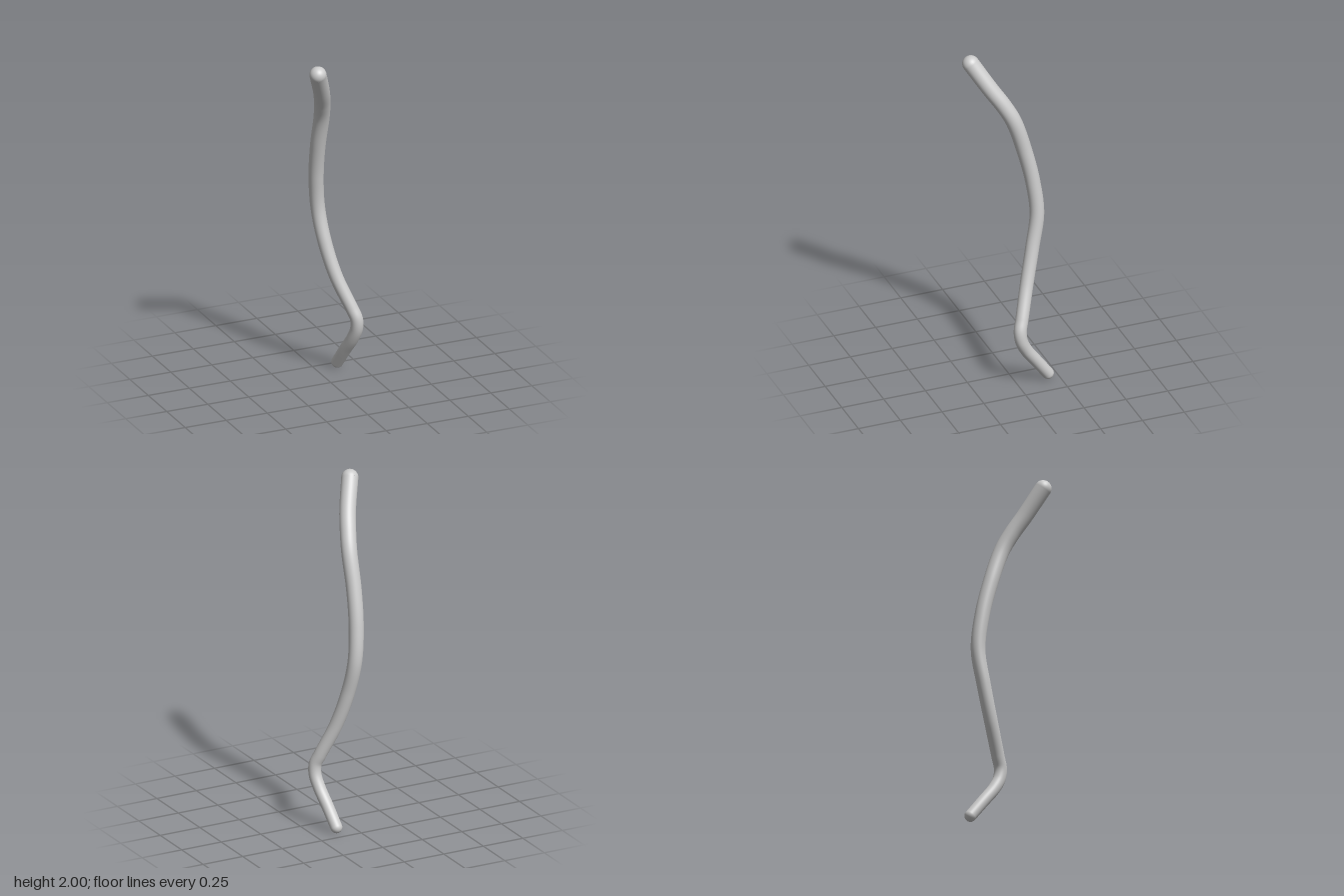
import * as THREE from 'three';

export function createModel() {
  const group = new THREE.Group();
  const material = new THREE.MeshStandardMaterial({ color: 0xcccccc });

  // Centre line from the thin lower end to the thick upper end
  const path = new THREE.CatmullRomCurve3([
    [0.122, 0.037, -0.183], [0.137, 0.14, -0.108], [0.153, 0.23, -0.043],
    [0.162, 0.3, -0.01], [0.158, 0.36, -0.004], [0.137, 0.42, -0.022],
    [0.068, 0.6, -0.078], [0.021, 0.8, -0.13], [-0.004, 1.0, -0.168],
    [-0.022, 1.2, -0.15], [-0.032, 1.4, -0.105], [-0.037, 1.6, -0.042],
    [-0.057, 1.7, 0.01], [-0.09, 1.8, 0.075], [-0.154, 1.953, 0.168],
  ].map((p) => new THREE.Vector3(...p)));

  const r0 = 0.034, r1 = 0.048, steps = 160, sides = 32;

  // Tube whose rings widen steadily along the path
  const geometry = new THREE.TubeGeometry(path, steps, 1, sides);
  const pos = geometry.attributes.position;
  const v = new THREE.Vector3();
  for (let i = 0; i <= steps; i++) {
    const centre = path.getPointAt(i / steps);
    const radius = THREE.MathUtils.lerp(r0, r1, i / steps);
    for (let j = 0; j <= sides; j++) {
      const k = i * (sides + 1) + j;
      v.fromBufferAttribute(pos, k).sub(centre).multiplyScalar(radius).add(centre);
      pos.setXYZ(k, v.x, v.y, v.z);
    }
  }
  const stem = new THREE.Mesh(geometry, material);
  stem.name = 'taperedStem';
  group.add(stem);

  // Rounded ends: hemispheres facing outwards along the path
  const addCap = (name, t, radius, sign) => {
    const cap = new THREE.Mesh(
      new THREE.SphereGeometry(radius, sides, 12, 0, Math.PI * 2, 0, Math.PI / 2), material);
    cap.name = name;
    cap.position.copy(path.getPointAt(t));
    cap.quaternion.setFromUnitVectors(
      new THREE.Vector3(0, 1, 0), path.getTangentAt(t).multiplyScalar(sign));
    group.add(cap);
  };
  addCap('lowerEnd', 0, r0, -1);
  addCap('upperEnd', 1, r1, 1);

  return group;
}
